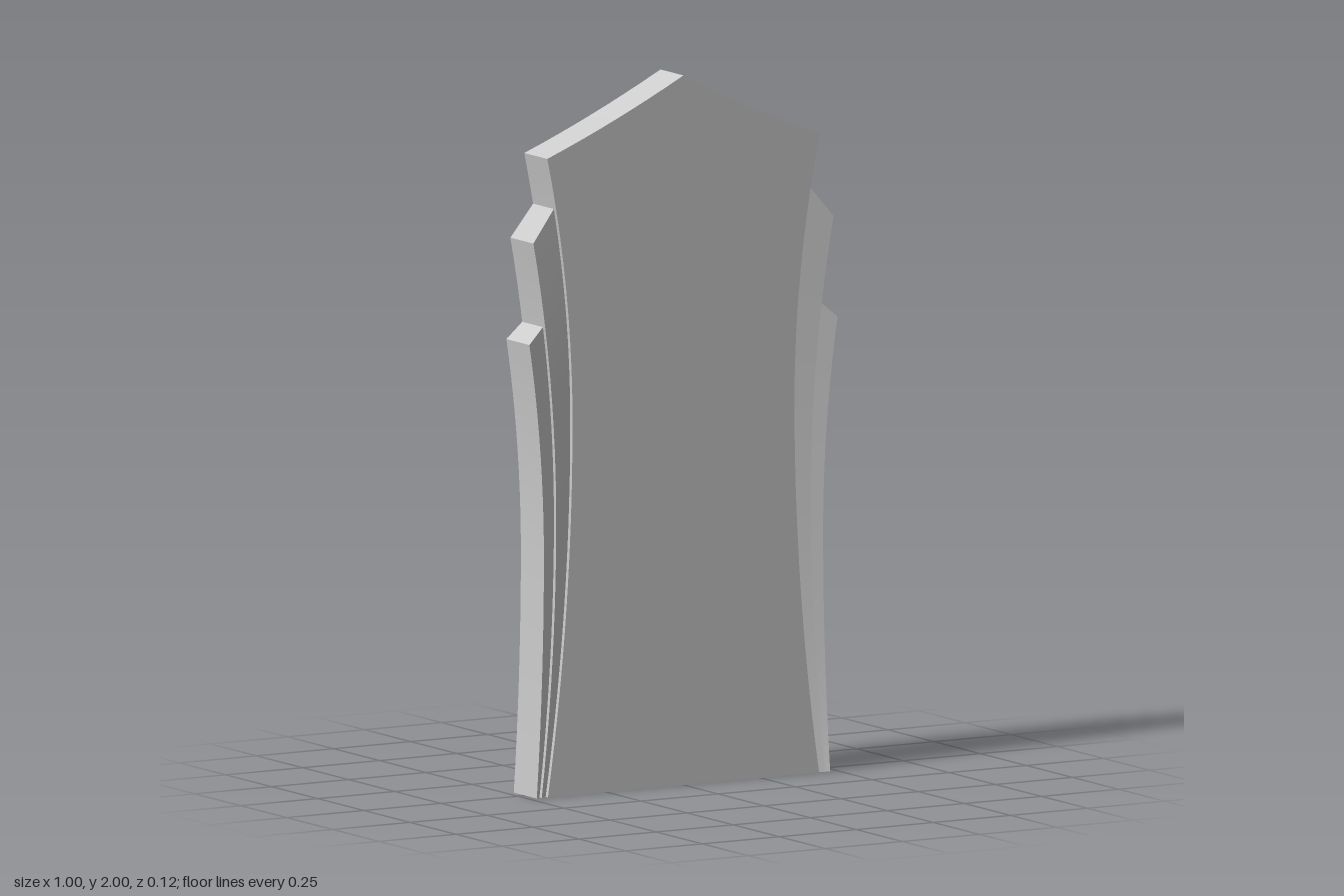
import * as THREE from 'three';
import { toCreasedNormals } from 'three/addons/utils/BufferGeometryUtils.js';

const HALF = 0.0625;   // half thickness
const RECESS = 0.0125; // how far each strip dips at its inner edge
const STEPS = 24;

// Waisted side edge: narrowest (waist) at height y0, flaring to both ends
const flaredEdge = (waist, y0, bottomX, topX, topY) => (y) =>
  y < y0
    ? waist + (bottomX - waist) * ((y0 - y) / y0) ** 2
    : waist + (topX - waist) * ((y - y0) / (topY - y0)) ** 2;

const panelEdge = flaredEdge(0.36, 1.05, 0.44, 0.442, 1.8);
const innerEdge = flaredEdge(0.413, 0.78, 0.46, 0.487, 1.565);
const outerEdge = flaredEdge(0.453, 0.68, 0.476, 0.5, 1.28);

// Central slab with a peaked, slightly concave top
function panelGeometry() {
  const side = [];
  for (let i = 0; i <= STEPS; i++) {
    const y = (1.8 * i) / STEPS;
    side.push(new THREE.Vector2(panelEdge(y), y));
  }
  const slope = new THREE.QuadraticBezierCurve(
    side[STEPS], new THREE.Vector2(0.22, 1.886), new THREE.Vector2(0, 2));
  const half = [...side, ...slope.getPoints(8).slice(1)];
  const mirrored = half.slice(0, -1).reverse().map((p) => new THREE.Vector2(-p.x, p.y));
  const geo = new THREE.ExtrudeGeometry(new THREE.Shape([...half, ...mirrored]),
    { depth: 2 * HALF, bevelEnabled: false });
  geo.translate(0, 0, -HALF);
  return toCreasedNormals(geo, 0.3);
}

// Side strip lofted between two edges, its front face tilting in toward the panel
function stripGeometry(sign, inner, innerTop, outer, outerTop) {
  const pos = [], idx = [];
  const tri = (a, b, c) => idx.push(...(sign > 0 ? [a, b, c] : [a, c, b]));
  for (let i = 0; i <= STEPS; i++) {
    const yi = (innerTop * i) / STEPS, yo = (outerTop * i) / STEPS;
    const xi = sign * inner(yi), xo = sign * outer(yo);
    pos.push(xi, yi, -HALF, xi, yi, HALF - RECESS, xo, yo, HALF, xo, yo, -HALF);
    if (i === STEPS) break;
    for (let j = 1; j < 4; j++) { // front, outer side, back
      const a = i * 4 + j, b = i * 4 + ((j + 1) % 4);
      tri(a, b, b + 4);
      tri(a, b + 4, a + 4);
    }
  }
  const t = STEPS * 4;
  tri(t + 1, t + 2, t + 3); // top cap
  tri(t + 1, t + 3, t);
  tri(3, 2, 1); // bottom cap
  tri(0, 3, 1);
  const geo = new THREE.BufferGeometry();
  geo.setAttribute('position', new THREE.Float32BufferAttribute(pos, 3));
  geo.setIndex(idx);
  return toCreasedNormals(geo, 0.3);
}

export function createModel() {
  const group = new THREE.Group();
  group.name = 'steppedSlab';
  const material = new THREE.MeshStandardMaterial({ color: 0xcccccc });
  const add = (name, geo) => {
    const mesh = new THREE.Mesh(geo, material);
    mesh.name = name;
    group.add(mesh);
  };

  add('centrePanel', panelGeometry());
  for (const [label, sign] of [['left', 1], ['right', -1]]) {
    add(label + 'InnerStrip', stripGeometry(sign, panelEdge, 1.655, innerEdge, 1.565));
    add(label + 'OuterStrip', stripGeometry(sign, innerEdge, 1.325, outerEdge, 1.28));
  }
  return group;
}
